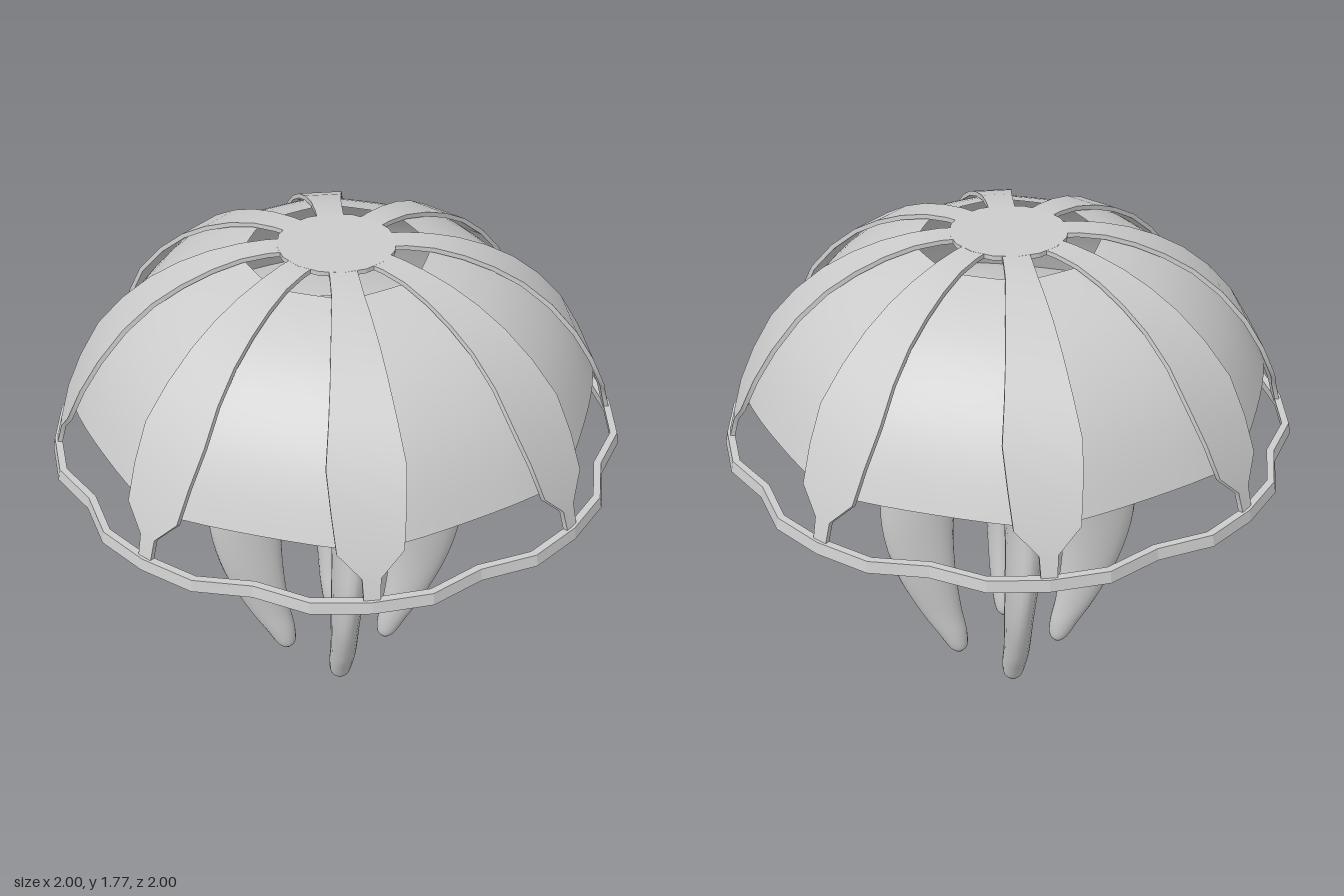
import * as THREE from 'three';
import { toCreasedNormals } from 'three/addons/utils/BufferGeometryUtils.js';

const grey = new THREE.MeshStandardMaterial({ color: 0xcccccc });
const greyFlat = new THREE.MeshStandardMaterial({ color: 0xcccccc, flatShading: true });
const greyThin = new THREE.MeshStandardMaterial({ color: 0xcccccc, side: THREE.DoubleSide });

// Skin a row of closed cross-sections; faces are turned outwards by signed volume.
function loft(sections, { caps = true, closed = false } = {}) {
  const n = sections[0].length, m = sections.length;
  const pts = sections.flat();
  const idx = [];
  for (let i = 0; i < (closed ? m : m - 1); i++) {
    for (let j = 0; j < n; j++) {
      const k = (j + 1) % n, u = ((i + 1) % m) * n, v = i * n;
      idx.push(v + j, v + k, u + k, v + j, u + k, u + j);
    }
  }
  if (caps && !closed) {
    [0, m - 1].forEach((s) => {
      const c = new THREE.Vector3();
      sections[s].forEach((p) => c.addScaledVector(p, 1 / n));
      pts.push(c);
      for (let j = 0; j < n; j++) {
        const a = s * n + j, b = s * n + (j + 1) % n;
        idx.push(pts.length - 1, ...(s === 0 ? [b, a] : [a, b]));
      }
    });
  }
  let volume = 0;
  for (let i = 0; i < idx.length; i += 3) {
    volume += pts[idx[i]].dot(pts[idx[i + 1]].clone().cross(pts[idx[i + 2]]));
  }
  if (volume < 0) idx.reverse();
  const g = new THREE.BufferGeometry().setFromPoints(pts);
  g.setIndex(idx);
  g.computeVertexNormals();
  return g;
}

function addMesh(parent, name, geometry, material) {
  const mesh = new THREE.Mesh(geometry, material);
  mesh.name = name;
  parent.add(mesh);
  return mesh;
}

const polar = (r, a, y) => new THREE.Vector3(r * Math.sin(a), y, r * Math.cos(a));

// Rib line from hub to hoop: radius, height, half width; the underside is set in by its thickness
const ribRows = [
  [0.17, 1.773, 0.045], [0.23, 1.772, 0.047], [0.32, 1.76, 0.052], [0.42, 1.732, 0.064],
  [0.52, 1.69, 0.077], [0.62, 1.632, 0.09], [0.72, 1.548, 0.106], [0.81, 1.443, 0.124],
  [0.88, 1.325, 0.116], [0.932, 1.21, 0.105], [0.962, 1.13, 0.03], [0.988, 1.035, 0.025],
];
const underside = ribRows.map(([r, y], i) => {
  const a = ribRows[Math.max(i - 1, 0)], b = ribRows[Math.min(i + 1, ribRows.length - 1)];
  const len = Math.hypot(b[0] - a[0], b[1] - a[1]);
  return new THREE.Vector2(r + 0.016 * (b[1] - a[1]) / len, y - 0.016 * (b[0] - a[0]) / len);
});

function ribGeometry() {
  return toCreasedNormals(loft(ribRows.map(([r, y, w], i) => {
    const { x: ri, y: yi } = underside[i];
    return [[-w, y, r], [w, y, r], [w, yi, ri], [-w, yi, ri]].map((p) => new THREE.Vector3(...p));
  })), 0.7);
}

// Thin round skin, drawn in between the ribs
function skinGeometry(profile) {
  return loft(new THREE.SplineCurve(profile).getPoints(16).map((p) =>
    Array.from({ length: 64 }, (_, j) => {
      const a = j / 64 * Math.PI * 2;
      return polar(p.x * (1 - 0.05 * Math.abs(Math.sin(4 * a))), a, p.y);
    })), { caps: false });
}

// Scalloped hoop, dented halfway between each pair of ribs
function hoopGeometry() {
  const radii = [1, 0.998, 0.952, 0.998];
  return loft(Array.from({ length: 32 }, (_, i) => {
    const a = i / 32 * Math.PI * 2, r = radii[i % 4];
    return [polar(r, a, 1.02), polar(r - 0.008, a, 1.06),
      polar(r - 0.033, a, 1.06), polar(r - 0.026, a, 1.02)];
  }), { closed: true });
}

// Arm blade: height, centre x, centre z, radial half width, tangential half width
function armGeometry(sx, sz) {
  const rows = [
    [0.005, 0.132, 0.144, 0.016, 0.014], [0.03, 0.134, 0.147, 0.036, 0.034],
    [0.1, 0.15, 0.16, 0.056, 0.044], [0.2, 0.18, 0.185, 0.077, 0.047],
    [0.4, 0.22, 0.225, 0.112, 0.052], [0.6, 0.242, 0.235, 0.133, 0.06],
    [0.8, 0.238, 0.215, 0.145, 0.072], [1.0, 0.217, 0.2, 0.15, 0.092],
    [1.2, 0.178, 0.178, 0.142, 0.095], [1.32, 0.168, 0.168, 0.115, 0.09],
    [1.39, 0.162, 0.162, 0.08, 0.07],
  ];
  const channel = (k) => new THREE.CatmullRomCurve3(
    rows.map((r) => new THREE.Vector3(r[0], r[k], r[k + 1])));
  const centre = channel(1), size = channel(3);
  const steps = 40;
  return loft(Array.from({ length: steps + 1 }, (_, i) => {
    const c = centre.getPoint(i / steps), s = size.getPoint(i / steps);
    return Array.from({ length: 20 }, (_, j) => {
      const a = j / 20 * Math.PI * 2;
      const u = s.y * Math.cos(a) * Math.SQRT1_2, v = s.z * Math.sin(a) * Math.SQRT1_2;
      return new THREE.Vector3(sx * (c.y + u - v), c.x, sz * (c.z + u + v));
    });
  }));
}

export function createModel() {
  const model = new THREE.Group();
  model.name = 'jellyfish';

  // Dome: outer canopy flush under the ribs, shallow ceiling inside it
  const canopyLine = underside.slice(2, 10);
  const ceilingLine = [[0.001, 1.385], [0.25, 1.373], [0.5, 1.335], [0.74, 1.27]]
    .map((p) => new THREE.Vector2(...p)).concat(canopyLine.at(-1));
  addMesh(model, 'canopy', skinGeometry(canopyLine), greyThin);
  addMesh(model, 'ceiling', skinGeometry(ceilingLine), greyThin);
  const hub = addMesh(model, 'hub', new THREE.CylinderGeometry(0.2, 0.2, 0.016, 16), greyFlat);
  hub.position.y = 1.765;
  addMesh(model, 'hoop', hoopGeometry().toNonIndexed(), greyFlat);

  // Eight ribs from hub to hoop
  const ribs = new THREE.Group();
  ribs.name = 'ribs';
  const rib = ribGeometry();
  for (let i = 0; i < 8; i++) addMesh(ribs, 'rib', rib, grey).rotation.y = i * Math.PI / 4;
  model.add(ribs);

  // Four hanging arms, mirrored across both axes
  const arms = new THREE.Group();
  arms.name = 'arms';
  for (const sx of [1, -1]) {
    for (const sz of [1, -1]) {
      addMesh(arms, `${sz > 0 ? 'front' : 'back'}${sx > 0 ? 'Left' : 'Right'}Arm`, armGeometry(sx, sz), grey);
    }
  }
  model.add(arms);
  return model;
}
